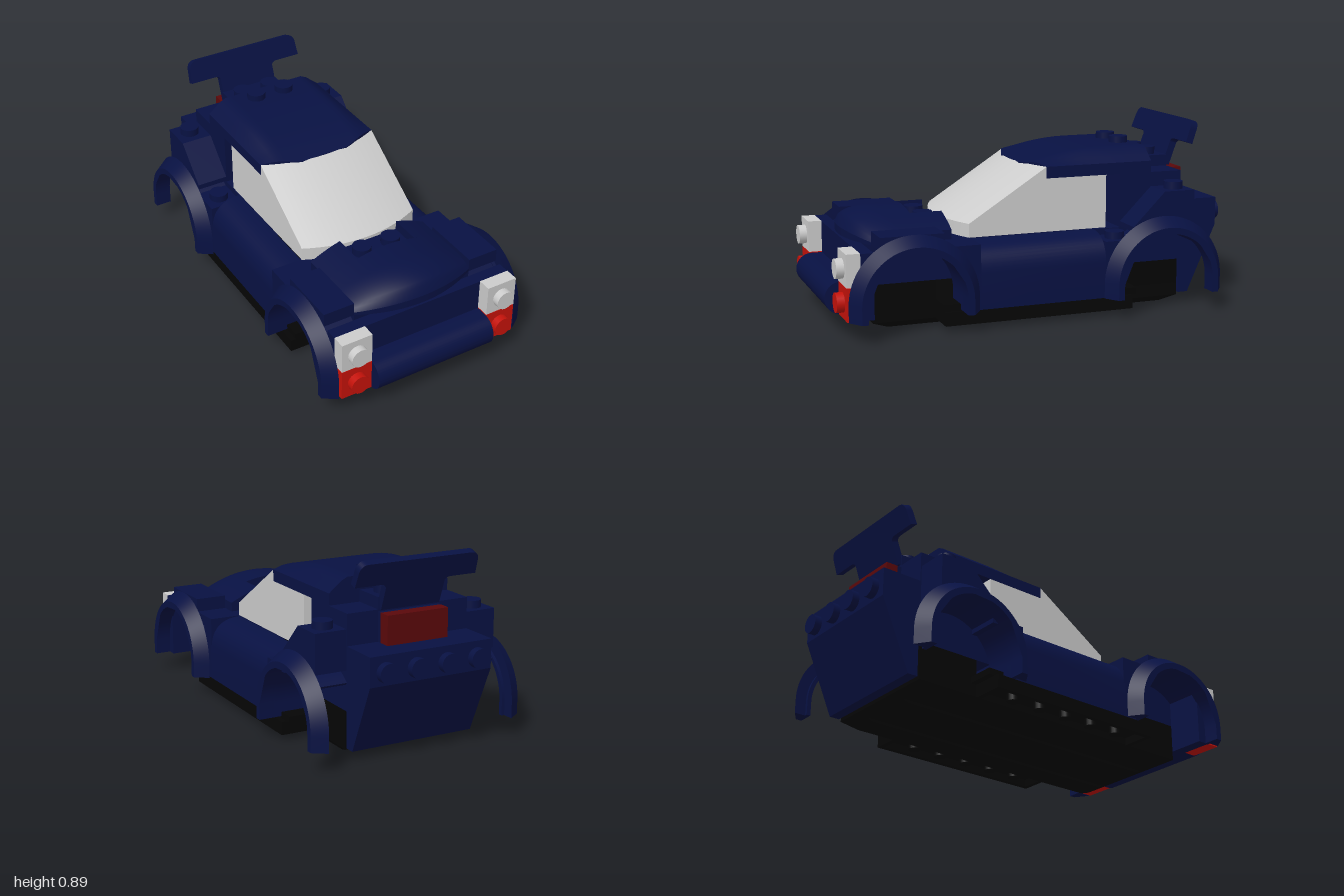
import * as THREE from 'three';
import { toCreasedNormals } from 'three/addons/utils/BufferGeometryUtils.js';

const paint = (color) => new THREE.MeshStandardMaterial({ color });

export function createModel() {
  const car = new THREE.Group();
  car.name = 'brickCar';
  const blue = paint(0x081142), black = paint(0x050505), red = paint(0xc4120a);
  const darkRed = paint(0x5a080a), grey = paint(0xcccccc);

  const add = (name, geo, mat = blue, parent = car) => {
    const mesh = new THREE.Mesh(geo, mat);
    mesh.name = name;
    parent.add(mesh);
    return mesh;
  };
  // box given by its ranges in x, y and z
  const box = (name, [x0, x1], [y0, y1], [z0, z1], mat, parent) => add(name,
    new THREE.BoxGeometry(x1 - x0, y1 - y0, z1 - z0)
      .translate((x0 + x1) / 2, (y0 + y1) / 2, (z0 + z1) / 2), mat, parent);
  // each vertex moved by a rule
  const move = (geo, rule) => {
    const p = geo.attributes.position;
    for (let i = 0; i < p.count; i++) p.setXYZ(i, ...rule(p.getX(i), p.getY(i), p.getZ(i)));
    geo.computeVertexNormals();
    return geo;
  };
  // box grid over x, y, z in 0..1, shaped by a rule
  const warped = (segX, segZ, rule) =>
    move(new THREE.BoxGeometry(1, 1, 1, segX, 1, segZ).translate(0.5, 0.5, 0.5), rule);
  // side outline in (z, y), extruded from x0 to x1
  const extrudeX = (shape, x0, x1, steps = 1) =>
    new THREE.ExtrudeGeometry(shape, { depth: x1 - x0, steps, bevelEnabled: false, curveSegments: 24 })
      .rotateY(-Math.PI / 2).translate(x1, 0, 0);
  const outline = (pts) => new THREE.Shape(pts.map(([a, b]) => new THREE.Vector2(a, b)));
  // stud standing on top (dir 0) or pointing along +z (1) or -z (-1)
  const stud = (x, y, z, dir = 0, mat = blue, parent = car) => {
    const geo = new THREE.CylinderGeometry(0.046, 0.046, 0.036, 20).translate(0, 0.018, 0);
    add('stud', geo.rotateX(dir * Math.PI / 2).translate(x, y, z), mat, parent);
  };
  const archShape = (zc, outer, inner) => {
    const s = new THREE.Shape();
    s.moveTo(zc + outer, 0.09);
    s.lineTo(zc + outer, 0.16);
    s.absarc(zc, 0.16, outer, 0, Math.PI, false);
    s.lineTo(zc - outer, 0.09);
    s.lineTo(zc - inner, 0.09);
    s.lineTo(zc - inner, 0.16);
    s.absarc(zc, 0.16, inner, Math.PI, 0, true);
    s.lineTo(zc + inner, 0.09);
    return s;
  };

  // chassis with a chamfered, grooved base
  const base = outline([[-0.31, 0.03], [-0.28, 0], [-0.155, 0], [-0.155, 0.015], [-0.125, 0.015],
    [-0.125, 0], [0.125, 0], [0.125, 0.015], [0.155, 0.015], [0.155, 0], [0.28, 0], [0.31, 0.03]]);
  add('chassisBase', toCreasedNormals(move(
    new THREE.ExtrudeGeometry(base, { depth: 1.54, bevelEnabled: false }).translate(0, 0, -0.76),
    (x, y, z) => [x, y, z - Math.sign(z) * 2.6 * (0.03 - y)]), 0.3), black);
  box('chassisPlate', [-0.31, 0.31], [0.03, 0.09], [-0.76, 0.78], black);
  box('frontAxleBlock', [-0.31, 0.31], [0.09, 0.21], [0.48, 0.78], black);
  box('rearAxleBlock', [-0.31, 0.31], [0.09, 0.21], [-0.76, -0.45], black);

  // body core
  box('frontCore', [-0.31, 0.31], [0.21, 0.395], [0.395, 0.78]);
  box('cowl', [-0.31, 0.31], [0.335, 0.395], [0.3, 0.5]);
  box('cabinRearWall', [-0.31, 0.31], [0.09, 0.39], [-0.375, -0.28]);
  box('rearSill', [-0.31, 0.31], [0.21, 0.39], [-0.45, -0.375]);
  box('rearCore', [-0.31, 0.31], [0.21, 0.65], [-0.77, -0.45]);
  box('rearDeck', [-0.155, 0.155], [0.65, 0.705], [-0.77, -0.6]);

  // front panel and rounded bumper
  box('frontPanel', [-0.465, 0.465], [0.09, 0.395], [0.81, 0.87]);
  const bumper = new THREE.Shape();
  bumper.moveTo(0.87, 0.09);
  bumper.lineTo(0.925, 0.09);
  bumper.absellipse(0.925, 0.165, 0.075, 0.075, -Math.PI / 2, Math.PI / 2, false);
  bumper.lineTo(0.87, 0.24);
  add('bumper', toCreasedNormals(extrudeX(bumper, -0.31, 0.31), 0.6));

  // domed hood with a recess at its back edge
  const domeTop = (x) => 0.52 - 0.08 * (x / 0.31) ** 2;
  add('hood', warped(24, 16, (u, v, w) => {
    const x = (u - 0.5) * 0.62;
    const front = 0.86 - 0.08 * (x / 0.31) ** 2;
    const z = 0.555 + (front - 0.555) * w;
    const s = Math.max(0, (w - 0.4) / 0.6);
    const drop = 0.3 + 0.7 * Math.sqrt(1 - s * s);
    return [x, 0.395 + v * (domeTop(x) - 0.395) * drop, z];
  }));
  for (const a of [-0.31, 0.155]) add('hoodShoulder', warped(8, 1, (u, v, w) => {
    const x = a + u * 0.155;
    return [x, 0.395 + v * (domeTop(x) - 0.395), 0.4 + w * 0.155];
  }));
  box('hoodRecess', [-0.155, 0.155], [0.395, 0.455], [0.4, 0.555]);

  // curved windscreen with side windows
  const glassShape = outline([[0.39, 0.395], [0.39, 0.46], [0.005, 0.705],
    [-0.08, 0.655], [-0.375, 0.65], [-0.375, 0.395]]);
  const glass = move(extrudeX(glassShape, -0.309, 0.309, 14), (x, y, z) =>
    [x, y, z > -0.05 ? z - 0.075 * (x / 0.31) ** 2 : z]);
  add('windscreen', toCreasedNormals(glass, 0.4), grey);

  // roof with chamfered edges, rising towards the back
  const roof = warped(20, 12, (u, v, w) => {
    const x = (u - 0.5) * 0.62, ax = Math.abs(x);
    const front = -0.07 * THREE.MathUtils.clamp((ax - 0.13) / 0.18, 0, 1);
    const z = -0.61 + (front + 0.61) * w;
    const rise = 0.065 * (1 - Math.max(0, (z + 0.38) / 0.38) ** 2);
    const edge = THREE.MathUtils.clamp((0.31 - ax) / 0.08, 0, 1);
    return [x, v ? 0.705 + rise * edge : 0.65, z];
  });
  add('roof', toCreasedNormals(roof, 0.5));

  // slanted tail, lamp bar and spoiler
  add('tail', extrudeX(outline([[-0.77, 0.505], [-0.965, 0.505], [-0.965, 0.37],
    [-0.82, 0.04], [-0.77, 0.04]]), -0.31, 0.31));
  box('tailLamp', [-0.155, 0.155], [0.505, 0.64], [-0.85, -0.79], darkRed);
  box('tailLampMount', [-0.155, 0.155], [0.505, 0.64], [-0.79, -0.76]);
  const wing = new THREE.Shape();
  wing.moveTo(-0.15, 0);
  wing.lineTo(0.15, 0);
  wing.lineTo(0.15, 0.115);
  wing.quadraticCurveTo(0.155, 0.132, 0.18, 0.132);
  wing.lineTo(0.308, 0.132);
  wing.lineTo(0.303, 0.203);
  wing.quadraticCurveTo(0.298, 0.243, 0.26, 0.243);
  wing.lineTo(-0.26, 0.243);
  wing.quadraticCurveTo(-0.298, 0.243, -0.303, 0.203);
  wing.lineTo(-0.308, 0.132);
  wing.lineTo(-0.18, 0.132);
  wing.quadraticCurveTo(-0.155, 0.132, -0.15, 0.115);
  const spoiler = add('spoiler', new THREE.ExtrudeGeometry(wing, { depth: 0.036, bevelEnabled: false }));
  spoiler.position.set(0, 0.65, -0.785);
  spoiler.rotation.x = -0.35;

  // everything that repeats on both sides
  for (const s of [1, -1]) {
    const side = new THREE.Group();
    side.name = s > 0 ? 'leftSide' : 'rightSide';
    side.scale.x = s;
    car.add(side);

    // hollow sill plate with tubes beneath
    box('sillPlate', [0.31, 0.465], [0.065, 0.09], [-0.45, 0.48], black, side);
    box('sillEdge', [0.443, 0.465], [0.027, 0.065], [-0.45, 0.48], black, side);
    for (const z of [-0.45, 0.458]) box('sillEnd', [0.31, 0.443], [0.027, 0.065], [z, z + 0.022], black, side);
    for (let i = 0; i < 5; i++) add('sillTube', new THREE.CylinderGeometry(0.03, 0.03, 0.038, 16)
      .translate(0.378, 0.046, 0.015 + (i - 2) * 0.155), black, side);

    // door rolling over at the top
    const door = new THREE.Shape();
    door.moveTo(0.31, 0.09);
    door.lineTo(0.465, 0.09);
    door.lineTo(0.465, 0.26);
    door.quadraticCurveTo(0.455, 0.39, 0.31, 0.392);
    add('door', toCreasedNormals(new THREE.ExtrudeGeometry(door,
      { depth: 0.63, bevelEnabled: false }).translate(0, 0, -0.31), 0.5), blue, side);

    // wheel arches: flared ring, inner lip, liner and leg
    for (const zc of [0.625, -0.605]) {
      const front = zc > 0;
      const flare = move(extrudeX(archShape(zc, 0.305, 0.23), 0.475, 0.54), (x, y, z) => {
        const dz = z - zc, dy = Math.max(0, y - 0.16), d = Math.hypot(dz, dy);
        const k = x > 0.5 && d > 0.27 ? 0.26 / d : 1;
        return [x, y - dy * (1 - k), zc + dz * k];
      });
      add('fender', toCreasedNormals(flare, 0.5), blue, side);
      add('fenderLip', toCreasedNormals(extrudeX(archShape(zc, 0.25, 0.23), 0.46, 0.476), 0.5), blue, side);
      const liner = new THREE.Shape();
      const [a0, a1] = front ? [0.83, Math.PI] : [0, Math.PI - 0.83];
      liner.absarc(zc, 0.16, 0.245, a0, a1, false);
      liner.absarc(zc, 0.16, 0.23, a1, a0, true);
      add('archLiner', toCreasedNormals(extrudeX(liner, 0.31, 0.462), 0.5), blue, side);
      const range = (a, b) => (front ? [a, b] : [-b, -a]);
      box('archLeg', [0.31, 0.465], [0.09, front ? 0.395 : 0.36], range(0.31, front ? 0.395 : 0.375), blue, side);
      box('archBridge', [0.31, 0.465], front ? [0.345, 0.395] : [0.33, 0.36], range(0.33, 0.48), blue, side);
      box('axleClip', [0.25, 0.44], [0.09, 0.12], range(0.4, 0.48), black, side);
    }
    box('frontArchTop', [0.31, 0.465], [0.395, 0.46], [0.48, 0.78], blue, side);
    add('rearShoulder', extrudeX(outline([[-0.45, 0.395], [-0.45, 0.42], [-0.61, 0.58],
      [-0.765, 0.58], [-0.765, 0.395]]), 0.31, 0.465), blue, side);

    // lamps
    box('headlamp', [0.31, 0.465], [0.245, 0.397], [0.87, 0.935], grey, side);
    stud(0.388, 0.32, 0.935, 1, grey, side);
    box('indicator', [0.31, 0.465], [0.09, 0.243], [0.87, 0.935], red, side);
    stud(0.388, 0.165, 0.935, 1, red, side);

    // studs
    stud(0.388, 0.58, -0.69, 0, blue, side);
    stud(0.388, 0.358, -0.385, 0, blue, side);
    stud(0.078, 0.455, 0.47, 0, blue, side);
    stud(0.078, 0.765, -0.54, 0, blue, side);
    stud(0.078, 0.705, -0.69, 0, blue, side);
    stud(0.078, 0.43, -0.964, -1, blue, side);
    stud(0.233, 0.43, -0.964, -1, blue, side);
  }
  return car;
}
